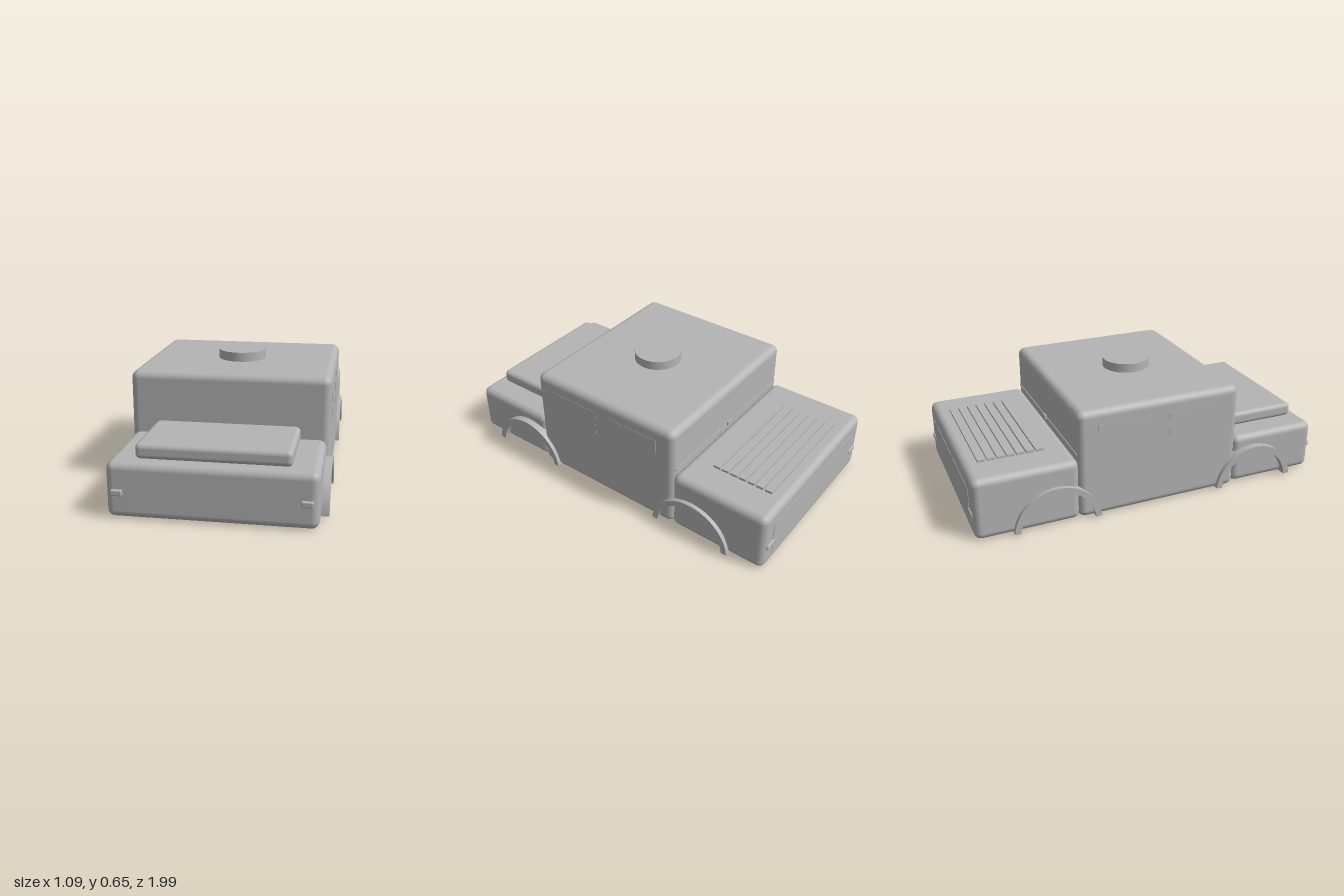
import * as THREE from 'three';
import { RoundedBoxGeometry } from 'three/addons/geometries/RoundedBoxGeometry.js';

export function createModel() {
  const model = new THREE.Group();
  model.name = 'vehicle';
  const grey = new THREE.MeshStandardMaterial({ color: 0xb4b4b4 });
  grey.name = 'plain grey';

  const add = (name, geometry, x, y, z) => {
    const mesh = new THREE.Mesh(geometry, grey);
    mesh.name = name;
    mesh.position.set(x, y, z);
    model.add(mesh);
    return mesh;
  };
  // Boxes are given by their extents: width across x, then y and z ranges
  const rounded = (name, w, y0, y1, z0, z1, r, x = 0) =>
    add(name, new RoundedBoxGeometry(w, y1 - y0, z1 - z0, 3, r), x, (y0 + y1) / 2, (z0 + z1) / 2);
  const box = (name, w, y0, y1, z0, z1, x = 0) =>
    add(name, new THREE.BoxGeometry(w, y1 - y0, z1 - z0), x, (y0 + y1) / 2, (z0 + z1) / 2);

  // Body
  rounded('cabin', 1.045, 0, 0.6, -0.437, 0.477, 0.04);
  rounded('frontBody', 1.01, 0.003, 0.282, 0.474, 0.986, 0.038);
  rounded('rearBody', 1.04, 0.003, 0.34, -0.982, -0.43, 0.038);
  rounded('frontHatch', 0.75, 0.281, 0.358, 0.517, 0.926, 0.025);

  // Round roof hatch
  add('roofHatch', new THREE.CylinderGeometry(0.13, 0.13, 0.055, 40), 0, 0.6225, 0.045);

  // Engine cover slats
  for (let i = 0; i < 7; i++) {
    const z = -0.885 + i * 0.0507;
    box('slat', 0.675, 0.335, 0.353, z - 0.02, z + 0.02);
  }

  // Rear panel and the trim at the foot of the cabin's back wall
  box('rearPanel', 0.86, 0.07, 0.26, -0.984, -0.978);
  for (const s of [-1, 1]) box('rearTrim', 0.47, 0.36, 0.37, -0.441, -0.434, s * 0.26);
  box('rearTrimCatch', 0.04, 0.355, 0.375, -0.447, -0.434);

  // Half-ring fender, open at the bottom
  const arch = new THREE.Shape();
  const a0 = 0.105, a1 = Math.PI - a0;
  arch.absarc(0, 0, 0.235, a0, a1, false);
  arch.absarc(0, 0, 0.203, a1, a0, true);
  const fenderGeometry = new THREE.ExtrudeGeometry(arch, { depth: 0.08, bevelEnabled: false, curveSegments: 32 });
  fenderGeometry.translate(0, 0, -0.04);
  fenderGeometry.rotateY(Math.PI / 2);

  // Mirrored parts
  for (const s of [-1, 1]) {
    for (const z of [0.595, -0.555]) add('fender', fenderGeometry, s * 0.503, -0.014, z);
    for (const z of [0.215, -0.18]) box('sideWindow', 0.006, 0.34, 0.52, z - 0.15, z + 0.15, s * 0.521);
    rounded('headlight', 0.058, 0.118, 0.15, 0.97, 1, 0.008, s * 0.45);
    rounded('tailLight', 0.075, 0.12, 0.152, -0.99, -0.96, 0.008, s * 0.45);
  }
  return model;
}
